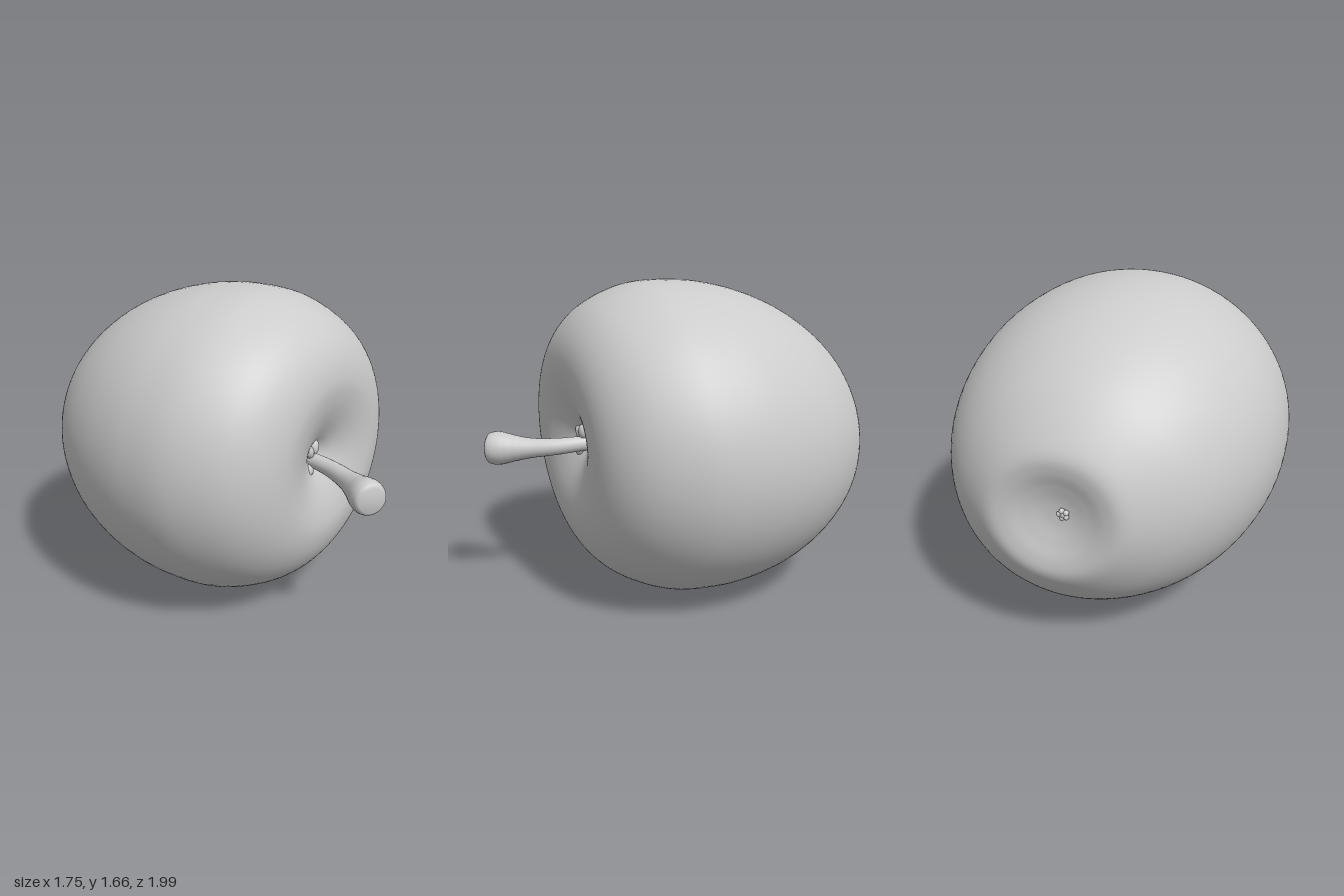
import * as THREE from 'three';
import { mergeVertices } from 'three/addons/utils/BufferGeometryUtils.js';

const material = new THREE.MeshStandardMaterial({ color: 0xcccccc, roughness: 0.8 });
const CENTRE_Y = 0.835;

function addMesh(parent, name, geometry) {
  const mesh = new THREE.Mesh(geometry, material);
  mesh.name = name;
  parent.add(mesh);
  return mesh;
}

// Fruit body: a turned profile [radius, z] lying along z, from back dimple to stem cavity
function bodyGeometry() {
  const profile = new THREE.CatmullRomCurve3([
    [0, -0.935], [0.07, -0.94], [0.15, -0.958], [0.23, -0.98], [0.3, -0.982], [0.385, -0.94],
    [0.55, -0.8], [0.688, -0.6], [0.772, -0.4], [0.818, -0.2], [0.831, -0.02], [0.809, 0.2],
    [0.722, 0.4], [0.63, 0.508], [0.52, 0.577], [0.4, 0.606], [0.3, 0.597], [0.2, 0.567],
    [0.11, 0.525], [0.05, 0.49], [0, 0.475],
  ].map(([r, z]) => new THREE.Vector3(r, z, 0)), false, 'centripetal');
  const points = profile.getPoints(140).map((p) => new THREE.Vector2(Math.max(p.x, 0), p.y));
  const geometry = new THREE.LatheGeometry(points, 96);
  geometry.rotateX(Math.PI / 2);
  // Slightly wider than tall, gently skewed so the ends lean and the back droops
  geometry.applyMatrix4(new THREE.Matrix4().set(
    1.054, -0.018, 0, 0,
    -0.018, 1, 0.025, CENTRE_Y,
    -0.03, 0.025, 1, 0,
    0, 0, 0, 1,
  ));
  return geometry;
}

// Stem: a curved tube whose radius swells into a blunt, slanted head
function stemGeometry() {
  const path = new THREE.CatmullRomCurve3([
    [-0.025, 0.828, 0.44], [-0.03, 0.825, 0.53], [-0.053, 0.818, 0.64], [-0.098, 0.812, 0.75],
    [-0.158, 0.808, 0.86], [-0.226, 0.806, 0.967],
  ].map((p) => new THREE.Vector3(...p)));
  const radii = new THREE.SplineCurve([
    [0, 0.038], [0.2, 0.04], [0.4, 0.045], [0.58, 0.052], [0.73, 0.068],
    [0.86, 0.086], [0.94, 0.085], [0.985, 0.065], [1, 0],
  ].map((p) => new THREE.Vector2(...p))).getPoints(200);
  const radiusAt = (t) => Math.max(0, (radii.find((p) => p.x >= t - 1e-6) ?? radii[200]).y);

  const rings = 64, sides = 24;
  const geometry = new THREE.TubeGeometry(path, rings, 1, sides);
  const { position, normal } = geometry.attributes;
  const v = new THREE.Vector3();
  for (let i = 0; i < position.count; i++) {
    const t = Math.floor(i / (sides + 1)) / rings;
    v.fromBufferAttribute(normal, i).multiplyScalar(t === 1 ? 0 : radiusAt(t)).add(path.getPointAt(t));
    position.setXYZ(i, v.x, v.y, v.z);
  }
  geometry.deleteAttribute('normal');
  geometry.deleteAttribute('uv');
  const merged = mergeVertices(geometry, 1e-5);
  merged.computeVertexNormals();
  return merged;
}

export function createModel() {
  const model = new THREE.Group();
  model.name = 'apple';
  addMesh(model, 'body', bodyGeometry());
  addMesh(model, 'stem', stemGeometry());

  // Low puckered folds where the stem meets the cavity
  const folds = new THREE.Group();
  folds.name = 'cavityFolds';
  folds.position.set(-0.03, CENTRE_Y, 0.505);
  model.add(folds);
  for (const angle of [1.4, 2.2, 4.2]) {
    const fold = addMesh(folds, 'cavityFold', new THREE.SphereGeometry(0.035, 16, 12));
    fold.position.set(Math.cos(angle) * 0.06, Math.sin(angle) * 0.06, 0);
    fold.rotation.z = angle;
    fold.scale.set(1.2, 0.8, 0.7);
  }

  // Dried blossom nub in the back dimple: a ring of tiny lobes around a core
  const nub = new THREE.Group();
  nub.name = 'blossomNub';
  nub.position.set(-0.035, CENTRE_Y - 0.01, -0.942);
  model.add(nub);
  addMesh(nub, 'nubCore', new THREE.SphereGeometry(0.022, 16, 12));
  for (let i = 0; i < 5; i++) {
    const angle = (i / 5) * Math.PI * 2;
    const lobe = addMesh(nub, 'nubLobe', new THREE.SphereGeometry(0.014, 12, 10));
    lobe.position.set(Math.cos(angle) * 0.018, Math.sin(angle) * 0.018, -0.008);
  }
  return model;
}
